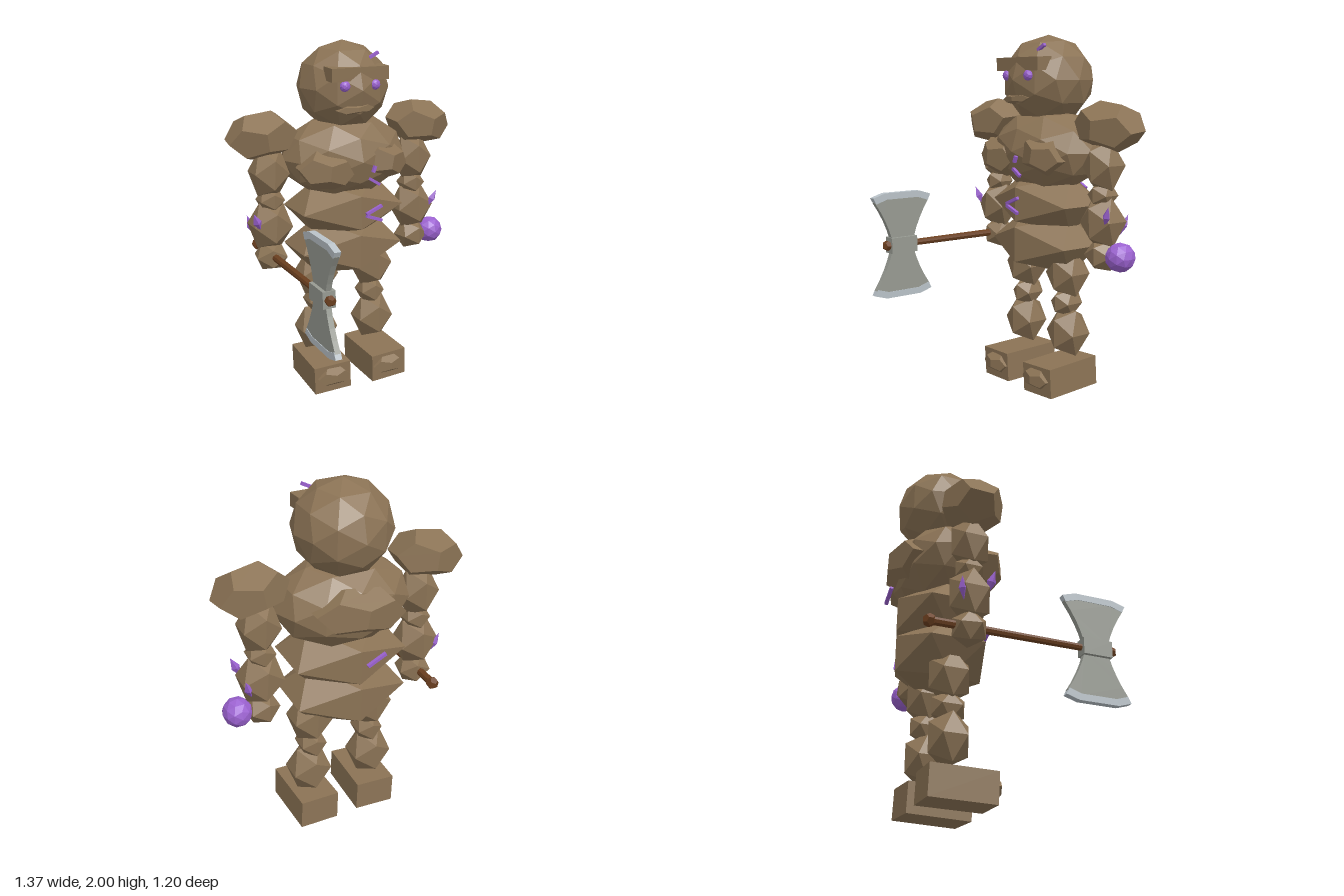
import * as THREE from 'three';

const mat = (name, color) => Object.assign(new THREE.MeshStandardMaterial({ color, flatShading: true }), { name });

export function createModel() {
  const stone = mat('stone', 0x8b7355);
  const crystal = mat('purple crystal', 0x9b62d0);
  const wood = mat('wood', 0x6b3f1f);
  const steel = mat('steel', 0x979a92);
  const edgeSteel = mat('bright edge', 0xb9c2c8);
  const root = new THREE.Group();
  root.name = 'stoneGolem';

  const add = (name, geo, material, pos = [0, 0, 0], rot = [0, 0, 0], parent = root) => {
    const m = new THREE.Mesh(geo, material);
    m.name = name;
    m.position.set(...pos);
    m.rotation.set(...rot);
    parent.add(m);
    return m;
  };

  // Faceted rock fitted to given half sizes
  const rock = (name, kind, pos, half, rot, material = stone) => {
    const geo = kind === 'dodeca' ? new THREE.DodecahedronGeometry(1)
      : new THREE.IcosahedronGeometry(1, kind === 'round' ? 1 : 0);
    geo.computeBoundingBox();
    const b = geo.boundingBox.max;
    geo.scale(half[0] / b.x, half[1] / b.y, half[2] / b.z);
    return add(name, geo, material, pos, rot);
  };

  // Thin glowing bar between two points on a plane of constant z
  const crack = (name, x1, y1, x2, y2, z) => add(name,
    new THREE.BoxGeometry(Math.hypot(x2 - x1, y2 - y1), 0.016, 0.018), crystal,
    [(x1 + x2) / 2, (y1 + y2) / 2, z], [0, 0, Math.atan2(y2 - y1, x2 - x1)]);

  const Z = -0.287;

  // Head and face
  rock('head', 'round', [0, 1.75, Z], [0.258, 0.25, 0.258]);
  add('brow', new THREE.BoxGeometry(0.345, 0.072, 0.1), stone, [0, 1.838, -0.107], [0.04, 0.02, 0]);
  rock('mouth', 'dodeca', [-0.02, 1.648, -0.085], [0.11, 0.028, 0.045], [0, 0, 0.05]);
  for (const s of [-1, 1])
    rock('eye', 'round', [s * 0.09, 1.775, -0.065], [0.03, 0.03, 0.025], [0, 0, 0], crystal);
  crack('headCrack', 0.09, 1.91, 0.145, 1.938, -0.135);

  // Torso
  rock('chest', 'round', [0, 1.36, Z], [0.375, 0.238, 0.265]);
  rock('abdomen', 'ico', [0, 1.065, Z], [0.31, 0.155, 0.238]);
  rock('pelvis', 'ico', [-0.005, 0.835, Z], [0.31, 0.16, 0.238]);
  rock('rightPectoral', 'dodeca', [-0.19, 1.32, -0.11], [0.16, 0.105, 0.105], [0, -0.12, -0.12]);
  rock('leftPectoral', 'dodeca', [0.165, 1.345, -0.115], [0.14, 0.1, 0.105], [0, 0.12, -0.2]);
  rock('backPlate', 'dodeca', [0, 1.375, -0.485], [0.25, 0.125, 0.105], [0, 0, 0.15]);
  crack('chestCrackUpper', 0.048, 1.305, 0.062, 1.34, -0.005);
  crack('chestCrackLower', 0.03, 1.27, 0.09, 1.232, -0.01);
  crack('bellyCrackUpper', 0, 1.075, 0.095, 1.115, 0.01);
  crack('bellyCrackLower', 0, 1.065, 0.095, 1.03, 0.01);
  crack('backCrack', 0, 1.115, -0.1, 1.165, -0.59);

  // Arms and legs
  for (const s of [-1, 1]) {
    const side = s > 0 ? 'left' : 'right';
    const limb = (part, kind, x, y, half, rot) => rock(side + part, kind, [s * x, y, Z], half, rot);
    limb('Shoulder', 'dodeca', 0.49, 1.51, [0.19, 0.125, 0.158], [0.1, s * 0.1, -s * 0.15]);
    limb('UpperArm', 'ico', 0.453, 1.3, [0.1, 0.13, 0.1], [0, 0, s * 0.06]);
    limb('Elbow', 'ico', 0.45, 1.145, [0.07, 0.065, 0.075]);
    limb('Forearm', 'ico', 0.455, 1.0, [0.112, 0.13, 0.105], [0, 0, s * 0.08]);
    limb('Hand', 'ico', 0.455, 0.82, [0.085, 0.08, 0.085], [0, s * 0.2, 0]);
    limb('Thigh', 'ico', 0.178, 0.675, [0.11, 0.13, 0.108], [0, 0, s * 0.05]);
    limb('Knee', 'ico', 0.172, 0.505, [0.072, 0.075, 0.088]);
    limb('Shin', 'ico', 0.187, 0.335, [0.11, 0.13, 0.105]);

    // Foot block with its toe stone
    add(side + 'Foot', new THREE.BoxGeometry(0.225, 0.165, 0.355), stone,
      [s * 0.18, 0.097, -0.235], [0.03, s * 0.03, 0.04]);
    rock(side + 'Toe', 'dodeca', [s * 0.18, 0.102, -0.06], [0.1, 0.055, 0.05]);

    // Crystal shards on the forearm
    for (const [x, y, z, tilt] of [[0.557, 1.045, -0.21, -0.4], [0.545, 0.99, -0.355, -0.3]]) {
      const shard = new THREE.OctahedronGeometry(1).scale(0.024, 0.06, 0.024);
      add(side + 'ForearmShard', shard, crystal, [s * x, y, z], [z < Z ? -0.2 : 0.2, 0, s * tilt]);
    }
  }
  rock('orb', 'round', [0.587, 0.827, Z], [0.08, 0.08, 0.083], [0, 0, 0], crystal);

  // Double bladed axe held forward
  const axe = new THREE.Group();
  axe.name = 'axe';
  axe.position.set(-0.458, 0.827, 0);
  root.add(axe);
  const turn = [Math.PI / 2, 0, 0];
  add('handle', new THREE.CylinderGeometry(0.018, 0.022, 1.01, 8), wood, [0, 0, 0], turn, axe);
  add('pommel', new THREE.DodecahedronGeometry(0.035), wood, [0, 0, -0.493], [0, 0, 0], axe);
  add('tip', new THREE.DodecahedronGeometry(0.03), wood, [0, 0, 0.508], [0, 0, 0], axe);
  add('axeSocket', new THREE.BoxGeometry(0.07, 0.09, 0.165), steel, [0, 0, 0.413], [0, 0, 0], axe);

  // Outline drawn with u along z and v along y, then extruded across x
  const plate = (draw, depth) => {
    const shape = new THREE.Shape();
    draw(shape);
    return new THREE.ExtrudeGeometry(shape, { depth, bevelEnabled: false, curveSegments: 4 })
      .translate(0, 0, -depth / 2).rotateY(-Math.PI / 2);
  };
  const blade = plate(p => {
    p.moveTo(-0.07, 0.03);
    p.lineTo(0.07, 0.03);
    p.quadraticCurveTo(0.1, 0.14, 0.175, 0.25);
    p.lineTo(0.105, 0.272);
    p.lineTo(-0.105, 0.272);
    p.lineTo(-0.175, 0.25);
    p.quadraticCurveTo(-0.1, 0.14, -0.07, 0.03);
  }, 0.03);
  const edge = plate(p => {
    p.moveTo(-0.168, 0.242);
    p.lineTo(-0.1, 0.264);
    p.lineTo(0.1, 0.264);
    p.lineTo(0.168, 0.242);
    p.lineTo(0.186, 0.277);
    p.lineTo(0.112, 0.3);
    p.lineTo(-0.112, 0.3);
    p.lineTo(-0.186, 0.277);
    p.closePath();
  }, 0.036);
  for (const a of [0, Math.PI]) {
    add('blade', blade, steel, [0, 0, 0.413], [a, 0, 0], axe);
    add('bladeEdge', edge, edgeSteel, [0, 0, 0.413], [a, 0, 0], axe);
  }

  return root;
}
